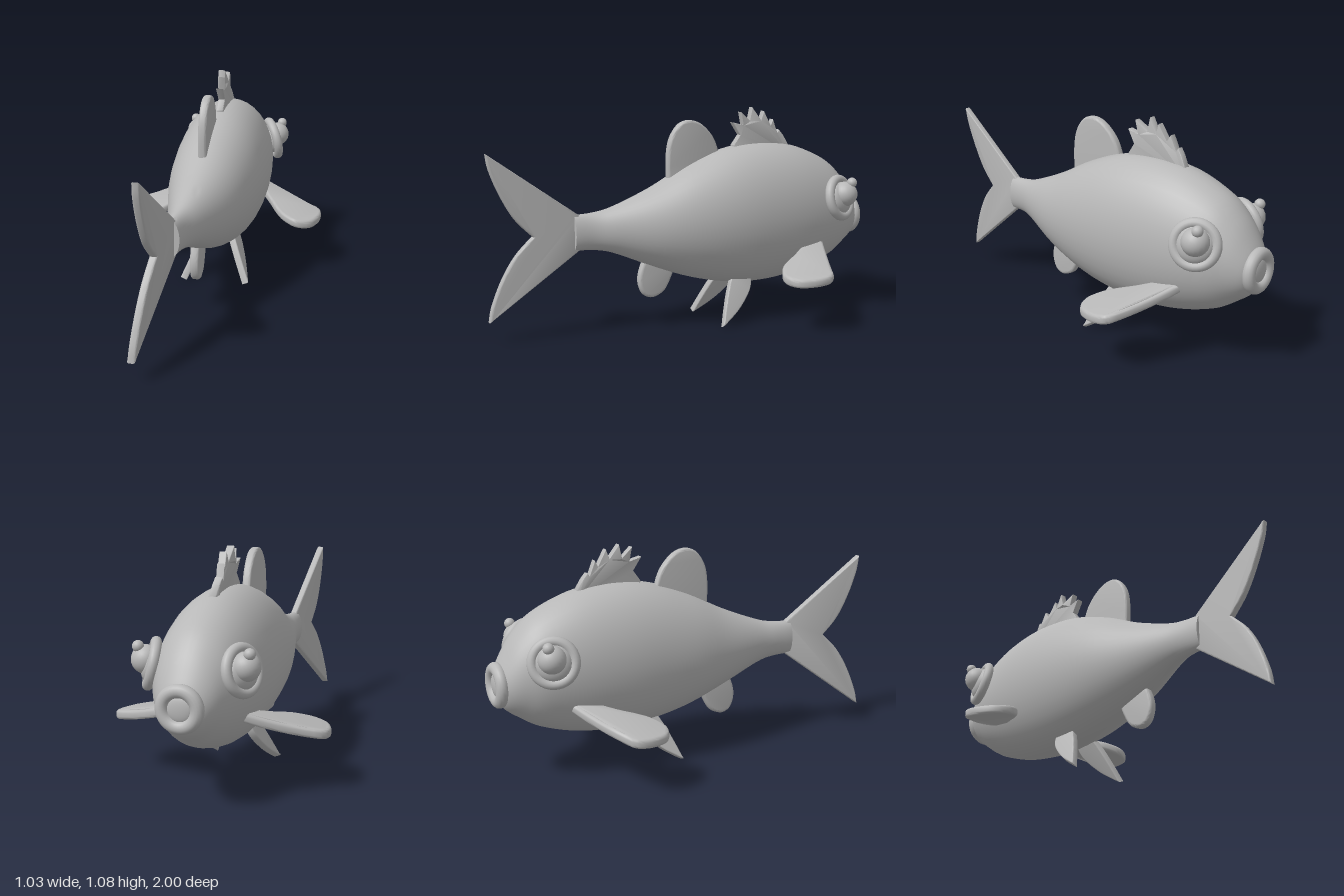
import * as THREE from 'three';
import { toCreasedNormals } from 'three/addons/utils/BufferGeometryUtils.js';

const V2 = (p) => new THREE.Vector2(p[0], p[1]);
const grey = new THREE.MeshStandardMaterial({ color: 0xb8b8b8 });
grey.name = 'grey';

function part(name, geometry, parent) {
  const mesh = new THREE.Mesh(geometry, grey);
  mesh.name = name;
  parent.add(mesh);
  return mesh;
}

// Body: elliptical cross-sections [z, top, bottom, centre x, half width]
const SECTIONS = [
  [-0.985, 0.495, 0.485, 0, 0.005], [-0.975, 0.55, 0.425, 0, 0.065],
  [-0.945, 0.615, 0.37, 0, 0.11], [-0.88, 0.715, 0.32, 0, 0.155],
  [-0.78, 0.805, 0.26, 0, 0.198], [-0.6, 0.88, 0.205, 0, 0.23],
  [-0.4, 0.905, 0.185, 0, 0.242], [-0.2, 0.885, 0.2, 0, 0.235],
  [0, 0.815, 0.245, -0.007, 0.208], [0.2, 0.715, 0.32, -0.016, 0.155],
  [0.4, 0.635, 0.405, -0.037, 0.085], [0.5, 0.612, 0.428, -0.052, 0.055],
  [0.595, 0.607, 0.432, -0.06, 0.04],
];

function bodyGeometry() {
  const rows = 60, sides = 36;
  const heights = new THREE.CatmullRomCurve3(
    SECTIONS.map((s) => new THREE.Vector3(s[0], s[1], s[2])), false, 'catmullrom');
  const widths = new THREE.CatmullRomCurve3(
    SECTIONS.map((s) => new THREE.Vector3(s[0], s[3], s[4])), false, 'catmullrom');
  const pos = [], index = [];
  for (let i = 0; i <= rows + 1; i++) {
    const t = Math.min(i / rows, 1);
    const h = heights.getPoint(t), w = widths.getPoint(t);
    const size = i > rows ? 0.001 : 1; // last ring closes the tail end
    for (let j = 0; j < sides; j++) {
      const a = (j / sides) * Math.PI * 2;
      pos.push(w.y + Math.cos(a) * w.z * size,
        (h.y + h.z) / 2 + (Math.sin(a) * (h.y - h.z) * size) / 2, h.x);
      if (i > rows) continue;
      const k = (j + 1) % sides;
      const p = i * sides + j, q = i * sides + k;
      index.push(p, q, p + sides, q, q + sides, p + sides);
    }
  }
  const g = new THREE.BufferGeometry();
  g.setAttribute('position', new THREE.Float32BufferAttribute(pos, 3));
  g.setIndex(index);
  return toCreasedNormals(g, 0.8);
}

// Smooth outline: straight runs are joined by splines through the given points
function outline(...runs) {
  const pts = [];
  for (const run of runs) {
    const list = run.length > 2
      ? new THREE.SplineCurve(run.map(V2)).getPoints(run.length * 4) : run.map(V2);
    for (const p of list) {
      if (!pts.length || pts[pts.length - 1].distanceTo(p) > 0.002) pts.push(p);
    }
  }
  return pts;
}

// Fin: a rounded plate whose vertices (a, b, w) are placed by a rule
function finGeometry(pts, thickness, bevel, place) {
  const core = thickness - 2 * bevel;
  const g = new THREE.ExtrudeGeometry(new THREE.Shape(pts), {
    depth: core, bevelEnabled: bevel > 0, bevelThickness: bevel,
    bevelSize: bevel, bevelOffset: -bevel, bevelSegments: 3,
  });
  const p = g.attributes.position;
  for (let i = 0; i < p.count; i++) {
    p.setXYZ(i, ...place(p.getX(i), p.getY(i), p.getZ(i) - core / 2));
  }
  return toCreasedNormals(g, 0.7);
}

// Upright fin on the middle line, outlined in (-z, y)
const upright = (bend) => (a, b, w) => [bend(-a, b) + w, b, -a];

export function createModel() {
  const fish = new THREE.Group();
  fish.name = 'fish';
  part('body', bodyGeometry(), fish);

  // Lips
  const lips = part('lips', new THREE.TorusGeometry(0.078, 0.03, 14, 36), fish);
  lips.position.set(0, 0.487, -0.97);
  const tongue = part('mouth', new THREE.SphereGeometry(0.06, 24, 14), fish);
  tongue.scale.z = 0.3;
  tongue.position.set(0, 0.487, -0.972);

  // Forked tail, bent to the right
  const tail = outline(
    [[-0.57, 0.605], [-1, 0.92]],
    [[-1, 0.92], [-0.985, 0.84], [-0.935, 0.715], [-0.87, 0.6], [-0.79, 0.515]],
    [[-0.79, 0.515], [-0.87, 0.43], [-0.935, 0.32], [-0.985, 0.19], [-1, 0.11]],
    [[-1, 0.11], [-0.57, 0.435]]);
  part('tailFin', finGeometry(tail, 0.036, 0.008, upright((z, y) => {
    const t = (z - 0.58) / 0.42;
    return -0.06 - 0.06 * t + 0.05 * t * (y - 0.515);
  })), fish);

  // Rounded back fin
  const back = outline(
    [[-0.115, 0.73], [-0.117, 0.86], [-0.1, 0.95], [-0.055, 1.015], [0, 1.035],
      [0.06, 1.02], [0.115, 0.975], [0.155, 0.915], [0.185, 0.82]]);
  part('rearDorsalFin', finGeometry(back, 0.042, 0.012,
    upright((z) => -0.016 - 0.3 * z * z)), fish);

  // Spiny fin: tips lean towards the tail
  const spines = [[0.57, 0.84], [0.575, 0.88], [0.545, 0.935], [0.522, 0.965],
    [0.512, 0.95], [0.482, 1.02], [0.465, 0.99], [0.42, 1.065], [0.405, 1.02],
    [0.36, 1.085], [0.345, 1.02], [0.285, 1.065], [0.3, 1.0], [0.24, 1.015],
    [0.28, 0.95], [0.245, 0.9], [0.25, 0.84]].map(V2);
  part('spinyDorsalFin', finGeometry(spines, 0.036, 0.004,
    upright((z) => -0.006 + 0.008 * Math.sin(z * 40))), fish);

  // Fin under the tail
  const anal = outline(
    [[-0.07, 0.33], [-0.09, 0.27], [-0.13, 0.195], [-0.17, 0.168], [-0.21, 0.16],
      [-0.25, 0.18], [-0.272, 0.23], [-0.27, 0.29], [-0.24, 0.37]]);
  part('analFin', finGeometry(anal, 0.045, 0.014, upright(() => -0.027)), fish);

  for (const side of [1, -1]) {
    const label = side > 0 ? 'left' : 'right';

    // Side fins, outlined in (x, -z) and sloping down outwards
    const flipper = outline(
      [[0.17, 0.69], [0.235, 0.66], [0.49, 0.535]],
      [[0.49, 0.535], [0.513, 0.5], [0.512, 0.43], [0.475, 0.345], [0.4, 0.31],
        [0.325, 0.345], [0.28, 0.4], [0.235, 0.48], [0.17, 0.58]],
    ).map((p) => new THREE.Vector2(p.x * side, p.y));
    part(label + 'PectoralFin', finGeometry(flipper, 0.045, 0.014, (a, b, w) => {
      const x = Math.abs(a);
      return [a, 0.365 - 0.33 * (x - 0.22) + 0.35 * (x - 0.22) ** 2
        - 0.1 * (0.66 - b) + w, -b];
    }), fish);

    // Belly fins, outlined in (-z, height along the fin)
    const belly = outline(
      [[0.2, 0.26], [0.16, 0.175], [0.125, 0.085], [0.1, 0.012]],
      [[0.1, 0.012], [0.13, 0.03], [0.2, 0.08], [0.265, 0.145], [0.3, 0.2],
        [0.31, 0.26]]);
    const ux = -0.39 * side, uy = 0.92;
    part(label + 'PelvicFin', finGeometry(belly, 0.036, 0.005, (a, b, w) =>
      [0.17 * side + ux * b + uy * w, uy * b - ux * w, -a]), fish);

    // Eye: socket ring, eyeball, pupil and a small bead, facing outwards
    const eye = new THREE.Group();
    eye.name = label + 'Eye';
    eye.position.set(0.205 * side, 0.618, -0.772);
    eye.quaternion.setFromUnitVectors(new THREE.Vector3(0, 0, 1),
      new THREE.Vector3(0.89 * side, 0.22, -0.39).normalize());
    fish.add(eye);
    part('eyeSocket', new THREE.TorusGeometry(0.096, 0.024, 14, 36), eye);
    const ball = part('eyeball', new THREE.SphereGeometry(0.086, 28, 18), eye);
    ball.scale.z = 0.55;
    const pupil = part('pupil', new THREE.SphereGeometry(0.064, 24, 16), eye);
    pupil.position.set(0, 0.016, 0.03);
    const bead = part('eyeBead', new THREE.SphereGeometry(0.026, 16, 12), eye);
    const target = new THREE.Vector3(0.25 * side, 0.7, -0.812);
    eye.updateMatrixWorld(true);
    bead.position.copy(eye.worldToLocal(target));
  }
  return fish;
}
